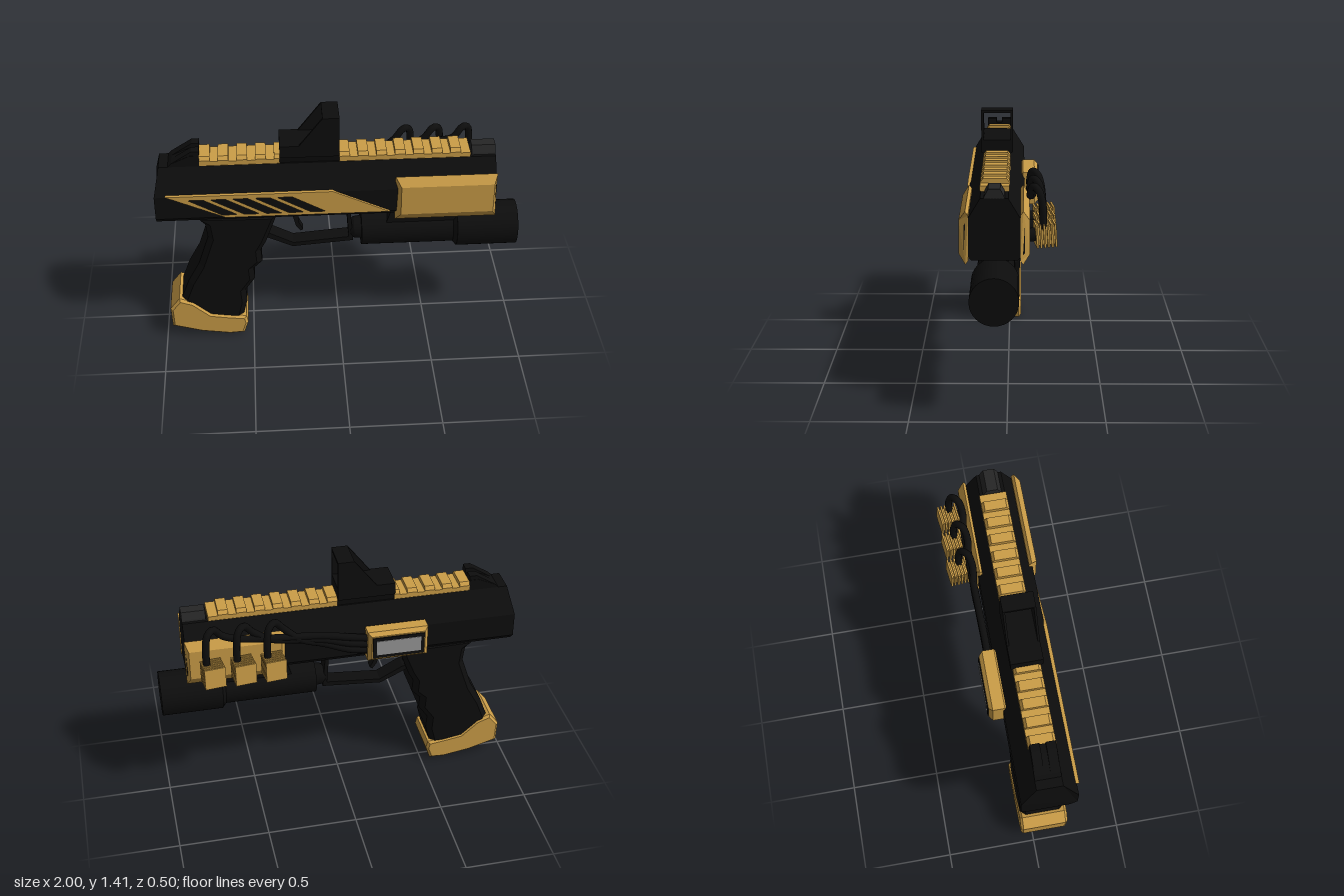
import * as THREE from 'three';

const MID = 0.065; // z of the centre plane
const black = new THREE.MeshStandardMaterial({ color: 0x0d0d0d, side: THREE.DoubleSide });
const dark = new THREE.MeshStandardMaterial({ color: 0x262626 });
const gold = new THREE.MeshStandardMaterial({ color: 0xcc9e48 });
const grey = new THREE.MeshStandardMaterial({ color: 0x999999 });

const toShape = (pts) => new THREE.Shape(pts.map(([a, b]) => new THREE.Vector2(a, b)));

// Side profile (x, y) extruded from z0 to z1, with optional chamfered rims
function slab(pts, z0, z1, bevel = 0, holes = []) {
  const shape = toShape(pts);
  for (const h of holes) shape.holes.push(toShape(h));
  const g = new THREE.ExtrudeGeometry(shape, {
    depth: z1 - z0 - 2 * bevel, bevelEnabled: bevel > 0, bevelSegments: 1,
    bevelThickness: bevel, bevelSize: bevel, bevelOffset: -bevel,
  });
  return g.translate(0, 0, z0 + bevel);
}

// Cross-section (z, y) extruded from x0 to x1
function prism(pts, x0, x1) {
  const g = new THREE.ExtrudeGeometry(toShape(pts.map(([z, y]) => [-z, y])), { depth: x1 - x0, bevelEnabled: false });
  return g.rotateY(Math.PI / 2).translate(x0, 0, 0);
}

// Symmetric cross-section from (half width, y) pairs
const mirrored = (half) => [
  ...half.map(([w, y]) => [MID + w, y]),
  ...half.slice().reverse().map(([w, y]) => [MID - w, y]),
];

// Moves vertices by a rule and refreshes the flat normals
function deform(g, rule) {
  const p = g.attributes.position, v = new THREE.Vector3();
  for (let i = 0; i < p.count; i++) {
    rule(v.fromBufferAttribute(p, i));
    p.setXYZ(i, v.x, v.y, v.z);
  }
  g.computeVertexNormals();
  return g;
}

const box = (x0, x1, y0, y1, z0, z1) =>
  new THREE.BoxGeometry(x1 - x0, y1 - y0, z1 - z0).translate((x0 + x1) / 2, (y0 + y1) / 2, (z0 + z1) / 2);

export function createModel() {
  const root = new THREE.Group();
  const add = (name, geo, mat, parent = root) => {
    const m = new THREE.Mesh(geo, mat);
    m.name = name;
    parent.add(m);
    return m;
  };
  const group = (name) => {
    const g = new THREE.Group();
    g.name = name;
    root.add(g);
    return g;
  };

  // Receiver with a leaning rear face
  const body = prism(mirrored([[0.115, 0.81], [0.153, 0.85], [0.153, 0.99], [0.07, 1.13]]), -1, 0.85);
  add('receiver', deform(body, (v) => { if (v.x < 0 && v.y > 1) v.x += 0.03; }), black);

  // Toothed top rails
  const rails = group('topRails');
  for (const [x0, x1] of [[-0.75, -0.32], [0, 0.71]]) {
    add('railBase', prism(mirrored([[0.06, 1.12], [0.075, 1.135], [0.075, 1.16]]), x0, x1), gold, rails);
    for (let x = x0; x < x1 - 0.02; x += 0.1) {
      const end = Math.min(x + 0.056, x1);
      add('railTooth', prism(mirrored([[0.075, 1.155], [0.075, 1.165], [0.06, 1.185]]), x, end), gold, rails);
    }
  }

  // Sights
  const wedge = [[-0.93, 1.12], [-0.9, 1.15], [-0.79, 1.22], [-0.75, 1.22], [-0.75, 1.12]];
  const sights = group('ironSights');
  add('rearSightBase', slab([[-0.93, 1.12], [-0.9, 1.15], [-0.8, 1.195], [-0.75, 1.195], [-0.75, 1.12]], MID - 0.07, MID + 0.07), black, sights);
  for (const s of [-1, 1]) {
    const c = MID + s * 0.042;
    add('rearSightEar', slab(wedge, c - 0.026, c + 0.026), black, sights);
  }
  add('frontSight', prism(mirrored([[0.055, 1.12], [0.05, 1.14], [0.03, 1.178]]), 0.72, 0.85), dark, sights);

  // Open hooded optic
  const optic = group('optic');
  add('opticBase', prism(mirrored([[0.06, 1.12], [0.07, 1.165], [0.0875, 1.175], [0.0875, 1.245]]), -0.32, 0), black, optic);
  const hood = [[-0.22, 1.24], [-0.09, 1.41], [0, 1.41], [0, 1.24]];
  for (const z of [MID - 0.0875, MID + 0.0755]) add('hoodSide', slab(hood, z, z + 0.012), black, optic);
  add('hoodTop', box(-0.09, 0, 1.395, 1.41, MID - 0.0875, MID + 0.0875), black, optic);

  // Slotted panel on the left side
  const slots = [];
  for (let i = 0; i < 5; i++) {
    const s = -0.82 + i * 0.12;
    slots.push([[s, 0.975], [s + 0.08, 0.975], [s + 0.26, 0.873], [s + 0.18, 0.873]]);
  }
  add('slottedPanel', slab([[-0.94, 1], [-0.04, 1], [0.27, 0.855], [-0.62, 0.855]], 0.2, 0.231, 0, slots), gold);

  // Chamfered cheek plates at the muzzle
  for (const s of [1, -1]) {
    const prof = [[0.13, 1.045], [0.145, 1.065], [0.178, 1.015], [0.178, 0.84], [0.145, 0.79], [0.13, 0.81]];
    const g = prism(prof.map(([w, y]) => [MID + s * w, y]), 0.3, 0.855);
    add(s > 0 ? 'leftCheekPlate' : 'rightCheekPlate', deform(g, (v) => {
      if (Math.abs(v.z - MID) > 0.17) v.x += v.x < 0.5 ? 0.03 : -0.02;
    }), gold);
  }

  // Grip with finger grooves and its butt cap
  add('grip', slab([
    [-0.8, 0.83], [-0.74, 0.765], [-0.73, 0.68], [-0.79, 0.5], [-0.855, 0.38], [-0.9, 0.26], [-0.88, 0.1],
    [-0.56, 0.1], [-0.53, 0.22], [-0.535, 0.3], [-0.48, 0.38], [-0.485, 0.45], [-0.435, 0.5], [-0.44, 0.58],
    [-0.41, 0.635], [-0.34, 0.83],
  ], -0.062, 0.193, 0.03), black);
  add('gripCap', slab([
    [-0.97, 0.2], [-0.915, 0.27], [-0.835, 0.24], [-0.74, 0.155], [-0.65, 0.14], [-0.54, 0.125], [-0.53, 0.08],
    [-0.555, 0.005], [-0.64, 0], [-0.8, 0.025], [-0.965, 0.075],
  ], -0.07, 0.204, 0.014), gold);

  // Trigger and guard
  add('trigger', slab([
    [-0.25, 0.83], [-0.255, 0.74], [-0.24, 0.68], [-0.215, 0.645], [-0.2, 0.655], [-0.222, 0.7], [-0.225, 0.75], [-0.2, 0.83],
  ], MID - 0.025, MID + 0.025), black);
  add('triggerGuard', slab([
    [-0.42, 0.65], [-0.41, 0.625], [-0.26, 0.553], [0.08, 0.58], [0.075, 0.65], [0.06, 0.83], [0.04, 0.83],
    [0.055, 0.605], [-0.255, 0.578], [-0.39, 0.65],
  ], MID - 0.045, MID + 0.045), black);

  // Torch under the barrel
  const torch = group('torch');
  const tube = (name, x0, x1, r0, r1) => add(name,
    new THREE.CylinderGeometry(r1, r0, x1 - x0, 32).rotateZ(-Math.PI / 2).translate((x0 + x1) / 2, 0.64, MID), black, torch);
  tube('tailTip', 0.055, 0.085, 0.04, 0.06);
  tube('tailCap', 0.085, 0.125, 0.06, 0.065);
  tube('torchBody', 0.125, 0.655, 0.1, 0.1);
  tube('headStep', 0.64, 0.66, 0.1, 0.122);
  tube('torchHead', 0.66, 1, 0.125, 0.125);
  add('torchMount', slab([[0.3, 0.83], [0.26, 0.7], [0.66, 0.7], [0.635, 0.83]], MID - 0.07, MID + 0.07), black, torch);

  // Display box on the right side
  const display = group('display');
  add('displayCase', slab([[-0.48, 0.84], [-0.14, 0.84], [-0.14, 1.025], [-0.48, 1.025]], -0.165, -0.06, 0.02), gold, display);
  add('displayBezel', box(-0.455, -0.165, 0.868, 0.998, -0.171, -0.15), black, display);
  add('displayScreen', box(-0.435, -0.185, 0.888, 0.978, -0.174, -0.16), grey, display);

  // Ribbed plugs, each with a cable looping over and running to the display
  [0.39, 0.555, 0.72].forEach((px, i) => {
    const plug = group('plug');
    plug.position.set(px, 0.915, -0.19);
    plug.rotation.set(0.06, 0.12, 0);
    add('plugCore', new THREE.BoxGeometry(0.09, 0.095, 0.1), gold, plug);
    for (let k = 0; k < 6; k++) {
      add('plugRib', new THREE.BoxGeometry(0.115, 0.12, 0.01).translate(0, 0, -0.048 + k * 0.019), gold, plug);
    }
    add('plugStem', new THREE.CylinderGeometry(0.035, 0.035, 0.06, 16).rotateX(Math.PI / 2).translate(0, 0, 0.07), black, plug);
    const lane = 0.985 + i * 0.025;
    const path = new THREE.CatmullRomCurve3([
      [px + 0.03, 0.95, -0.18], [px + 0.03, 1.06, -0.178], [px + 0.015, 1.14, -0.158], [px - 0.02, 1.155, -0.13],
      [px - 0.07, 1.1, -0.115], [px - 0.16, lane + 0.04, -0.125], [0.1, lane - 0.01, -0.12],
      [-0.05, 0.91 + i * 0.04, -0.115], [-0.16, 0.89 + i * 0.04, -0.115],
    ].map((p) => new THREE.Vector3(...p)));
    add('cable', new THREE.TubeGeometry(path, 64, 0.02, 10), black);
  });

  return root;
}
